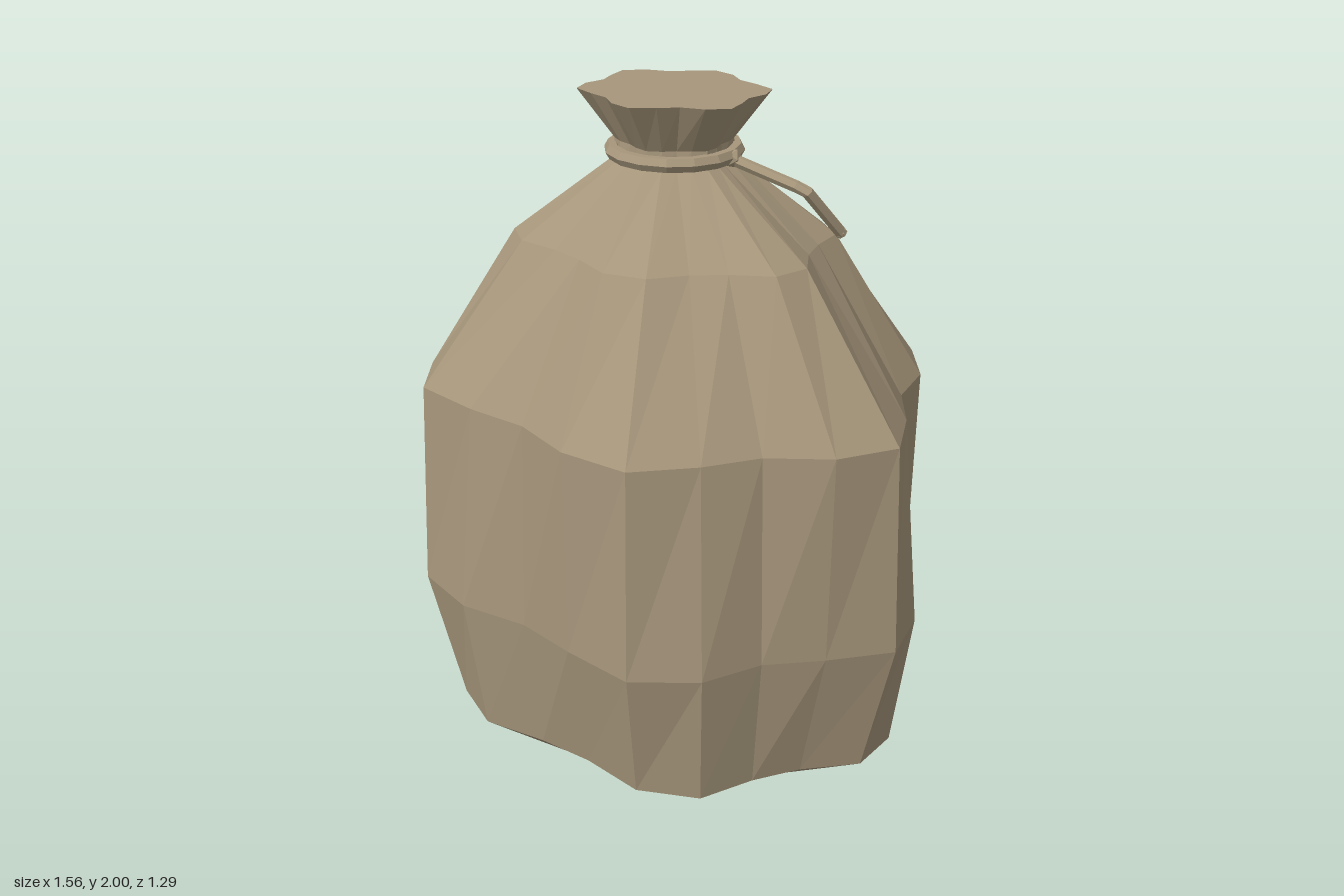
import * as THREE from 'three';

const SIDES = 24;

// Faceted normals for any geometry
function faceted(geometry) {
  const g = geometry.index ? geometry.toNonIndexed() : geometry;
  g.computeVertexNormals();
  return g;
}

// Cloth rings: height, mean radius, depth ratio, fold depth, fold phase in degrees
const RINGS = [
  [0.00, 0.46, 0.80, 0.080, 65],
  [0.16, 0.68, 0.81, 0.084, 48],
  [0.59, 0.75, 0.825, 0.084, 20],
  [1.20, 0.715, 0.825, 0.084, -12],
  [1.61, 0.43, 0.825, 0.090, -48],
  [1.82, 0.155, 0.95, 0.070, -75],
  [1.87, 0.150, 0.95, 0.070, -85],
  [2.00, 0.24, 0.90, 0.100, -105],
];

function sackGeometry() {
  const pos = [], idx = [];
  for (const [y, r, depth, fold, phase] of RINGS) {
    for (let i = 0; i < SIDES; i++) {
      const a = (i / SIDES) * Math.PI * 2;
      const rr = r * (1 + fold * Math.sin(6 * a + THREE.MathUtils.degToRad(phase)));
      pos.push(rr * Math.cos(a), y, rr * depth * Math.sin(a));
    }
  }
  // side faces
  for (let k = 0; k < RINGS.length - 1; k++) {
    for (let i = 0; i < SIDES; i++) {
      const j = (i + 1) % SIDES;
      const a = k * SIDES + i, b = k * SIDES + j;
      idx.push(a, a + SIDES, b, b, a + SIDES, b + SIDES);
    }
  }
  // flat base and flat mouth
  const base = pos.length / 3, top = base + 1, last = (RINGS.length - 1) * SIDES;
  pos.push(0, 0, 0, 0, 2, 0);
  for (let i = 0; i < SIDES; i++) {
    const j = (i + 1) % SIDES;
    idx.push(base, i, j, top, last + j, last + i);
  }
  const g = new THREE.BufferGeometry();
  g.setAttribute('position', new THREE.Float32BufferAttribute(pos, 3));
  g.setIndex(idx);
  return faceted(g);
}

export function createModel() {
  const group = new THREE.Group();
  const cloth = new THREE.MeshStandardMaterial({ color: 0xa6967b });
  cloth.name = 'burlap';

  const add = (name, geometry) => {
    const mesh = new THREE.Mesh(geometry, cloth);
    mesh.name = name;
    group.add(mesh);
    return mesh;
  };

  add('sack', sackGeometry());

  // Cord around the neck
  const cord = add('neckCord', faceted(new THREE.TorusGeometry(0.168, 0.021, 6, 16)));
  cord.rotation.x = Math.PI / 2;
  cord.position.y = 1.843;

  // Knot where the loose end leaves the loop
  const knot = add('knot', faceted(new THREE.IcosahedronGeometry(0.028, 0)));
  knot.position.set(0.172, 1.838, 0);

  // Loose cord end, bent once
  const points = [[0.16, 1.838, 0], [0.385, 1.78, -0.003], [0.448, 1.648, -0.1]]
    .map((p) => new THREE.Vector3(...p));
  const path = new THREE.CurvePath();
  path.add(new THREE.LineCurve3(points[0], points[1]));
  path.add(new THREE.LineCurve3(points[1], points[2]));
  add('looseCord', faceted(new THREE.TubeGeometry(path, 12, 0.016, 6, false)));

  // Closed tip of the loose end
  const dir = points[2].clone().sub(points[1]).normalize();
  const tip = add('cordTip', faceted(new THREE.CylinderGeometry(0.016, 0.016, 0.01, 6)));
  tip.position.copy(points[2]);
  tip.quaternion.setFromUnitVectors(new THREE.Vector3(0, 1, 0), dir);

  return group;
}
